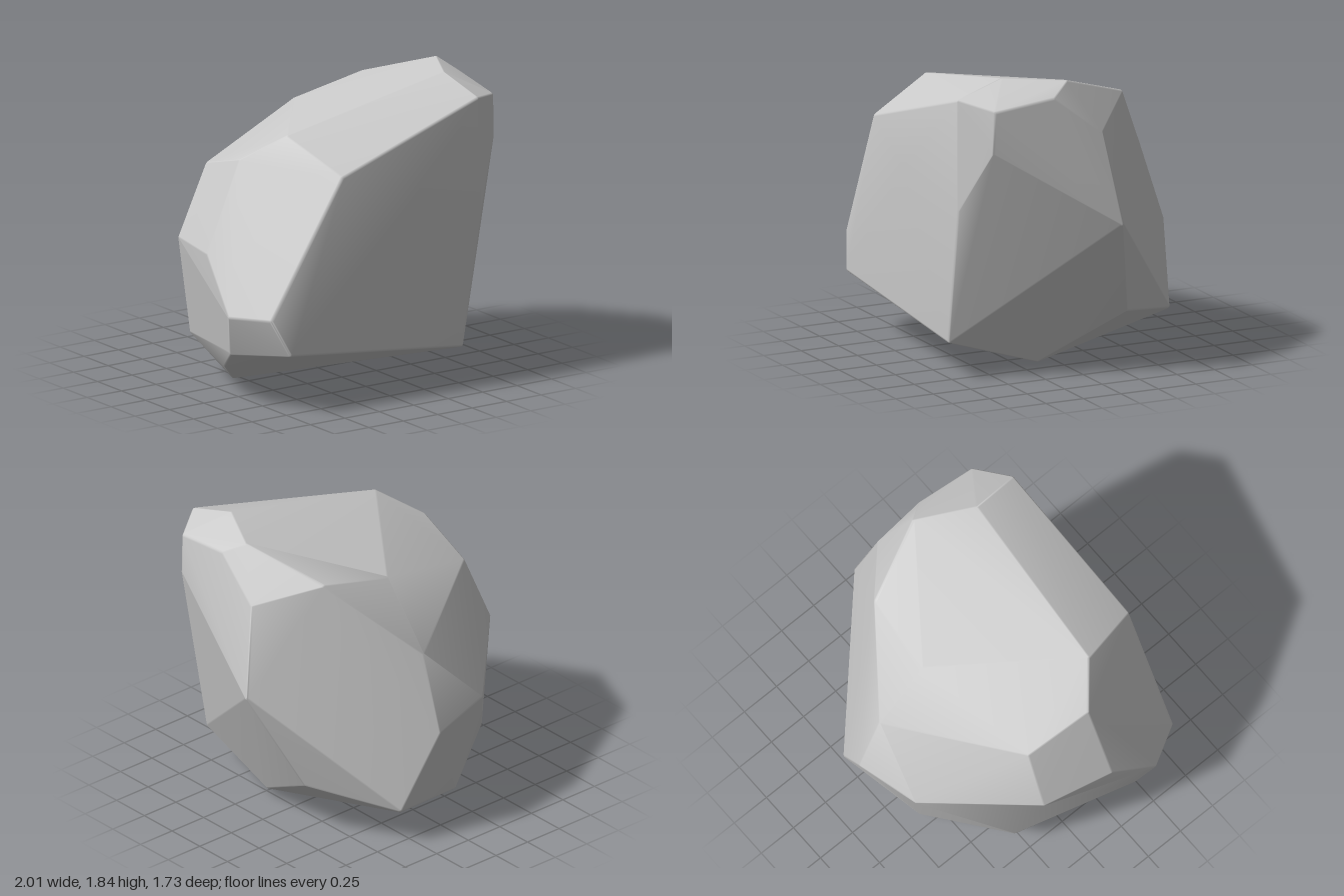
import * as THREE from 'three';
import { mergeVertices } from 'three/addons/utils/BufferGeometryUtils.js';
import { ConvexGeometry } from 'three/addons/geometries/ConvexGeometry.js';

const BEVEL = 0.022;

// Corners of the boulder, grouped by the facet they bound
const crown = [
  [0.60, 1.84, 0.47], [0.78, 1.83, 0.13], [0.58, 1.67, -0.34], [0.10, 1.57, -0.38],
  [-0.68, 1.33, -0.19], [-0.73, 1.45, 0.23], [-0.51, 1.61, 0.42],
];
const frontFace = [
  [-0.39, 1.43, 0.82], [0.08, 1.23, 0.865], [0.63, 1.75, 0.77], [0.65, 1.08, 0.78],
  [0.51, 0.23, 0.775], [-0.77, 0.38, 0.81], [-0.87, 0.59, 0.76],
];
const rightFace = [
  [0.83, 1.71, 0.63], [0.83, 1.46, 0.64], [0.855, 1.76, 0.25], [0.89, 1.53, -0.05],
  [1.005, 0.97, -0.135], [0.70, 0.34, -0.32],
];
const backFace = [
  [0.10, 1.18, -0.71], [0.10, 0.70, -0.865], [0.34, 0.22, -0.78], [-0.31, 0.76, -0.775],
];
const leftFace = [
  [-0.86, 0.89, -0.22], [-0.96, 0.90, 0.22], [-1.005, 0.58, 0.52], [-0.93, 0.33, 0.43],
];
const underside = [
  [-0.81, 0.18, 0.19], [-0.70, 0.25, -0.32], [-0.20, 0.13, -0.65],
  [-0.55, 0, -0.10], [0.54, 0.05, 0.20],
];

// Hull of small balls placed at the corners, which softens every edge
function roundedHull(corners, radius) {
  const ball = mergeVertices(new THREE.IcosahedronGeometry(radius, 1).deleteAttribute('normal').deleteAttribute('uv'));
  const offsets = ball.getAttribute('position');
  const centre = new THREE.Vector3(0, 0.9, 0);
  const points = [];
  for (const c of corners) {
    const p = new THREE.Vector3(...c);
    p.addScaledVector(p.clone().sub(centre).normalize(), -radius * 1.1);
    for (let i = 0; i < offsets.count; i++) {
      points.push(new THREE.Vector3().fromBufferAttribute(offsets, i).add(p));
    }
  }
  // Shared vertices give area-weighted normals: flat facets, smooth edges
  const hull = mergeVertices(new ConvexGeometry(points).deleteAttribute('normal'), 1e-4);
  hull.computeVertexNormals();
  hull.computeBoundingBox();
  hull.translate(0, -hull.boundingBox.min.y, 0);
  return hull;
}

export function createModel() {
  const group = new THREE.Group();
  group.name = 'rock';
  const corners = [...crown, ...frontFace, ...rightFace, ...backFace, ...leftFace, ...underside];
  const boulder = new THREE.Mesh(
    roundedHull(corners, BEVEL),
    new THREE.MeshStandardMaterial({ color: 0xcccccc })
  );
  boulder.name = 'boulder';
  group.add(boulder);
  return group;
}
